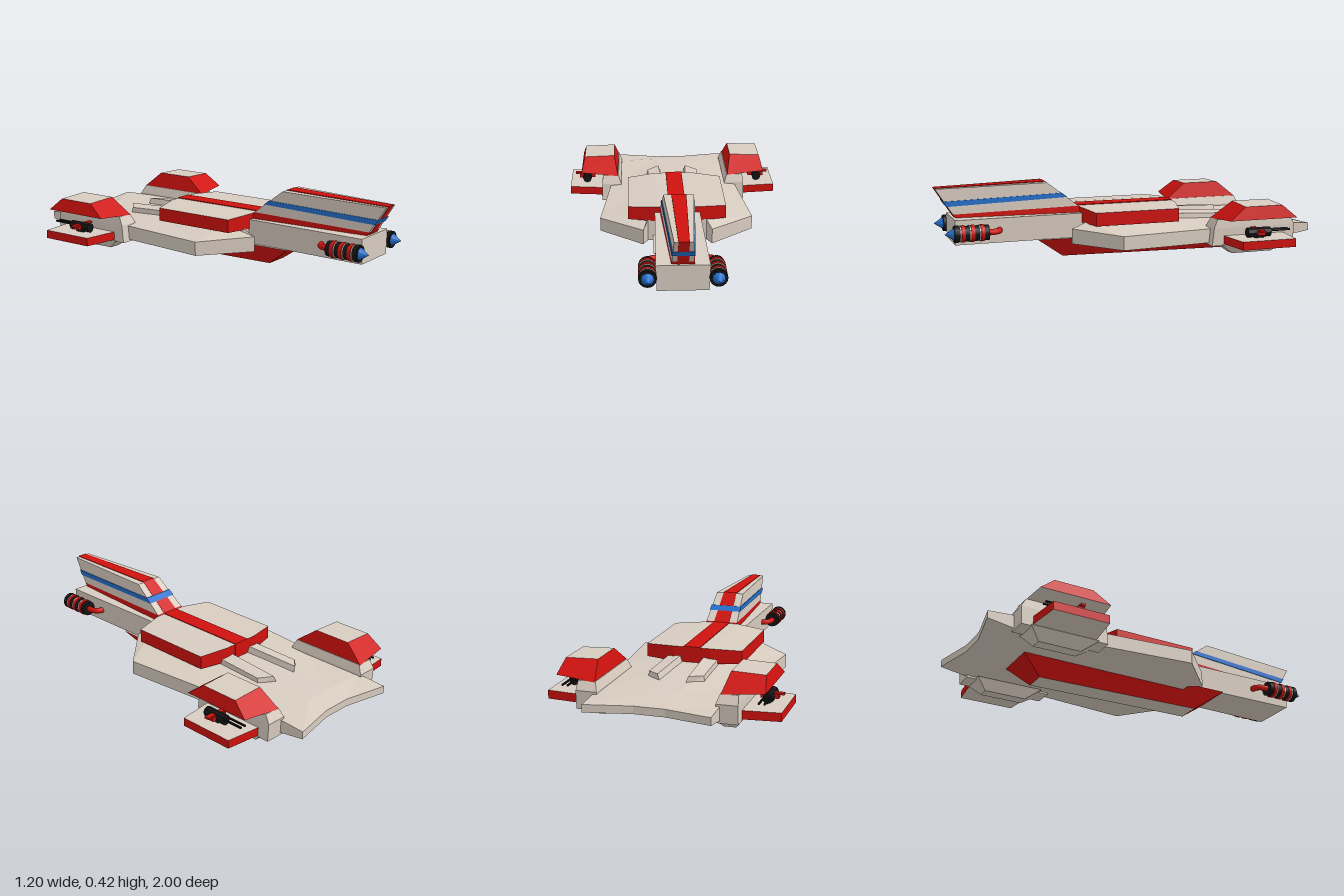
import * as THREE from 'three';

const BEIGE = 0xd8ccc0, RED = 0xd0120e, BLUE = 0x2470cc, BLACK = 0x141414;
const mats = {};
const mat = (color, flat = true) =>
  (mats[color + '' + flat] ??= new THREE.MeshStandardMaterial({ color, flatShading: flat }));

function add(parent, name, geo, color, flat = true) {
  const mesh = new THREE.Mesh(geo, mat(color, flat));
  mesh.name = name;
  parent.add(mesh);
  return mesh;
}

// Faceted surface from quads
function quadGeometry(quads) {
  const pos = [];
  for (const [a, b, c, d] of quads) pos.push(...a, ...b, ...c, ...a, ...c, ...d);
  const geo = new THREE.BufferGeometry();
  geo.setAttribute('position', new THREE.Float32BufferAttribute(pos, 3));
  geo.computeVertexNormals();
  return geo;
}

// Solid through rings (counter-clockwise seen from the last ring), with own colours for walls and ends
function loft(parent, name, rings, wallColor, capColor = wallColor, side = 1) {
  if (side < 0) rings = rings.map(r => r.map(([x, y, z]) => [-x, y, z]).reverse());
  const walls = [], caps = [], n = rings[0].length, last = rings[rings.length - 1], first = rings[0];
  for (let k = 0; k + 1 < rings.length; k++)
    for (let i = 0; i < n; i++) {
      const j = (i + 1) % n;
      walls.push([rings[k][i], rings[k][j], rings[k + 1][j], rings[k + 1][i]]);
    }
  for (let i = 0; i < n / 2 - 1; i++) {
    caps.push([last[i], last[i + 1], last[n - 2 - i], last[n - 1 - i]]);
    caps.push([first[n - 1 - i], first[n - 2 - i], first[i + 1], first[i]]);
  }
  const g = new THREE.Group();
  g.name = name;
  add(g, name + 'Sides', quadGeometry(walls), wallColor);
  add(g, name + 'Ends', quadGeometry(caps), capColor);
  parent.add(g);
}

// Level rectangle ring: x0..x1, z0 (back)..z1 (front)
const rect = (y, x0, x1, z0, z1) => [[x0, y, z1], [x1, y, z1], [x1, y, z0], [x0, y, z0]];

// Cylinder or cone lying along z
const rod = (r0, r1, length, sides = 20) => new THREE.CylinderGeometry(r1, r0, length, sides).rotateX(Math.PI / 2);

function addHull(g) {
  // edge z, middle z, half width, middle half width, top middle, top edge, bottom edge, bottom middle
  const rings = [
    [-1, -0.95, 0.32, 0.08, 0.16, 0.16, 0.12, 0.12],
    [-0.84, -0.84, 0.32, 0.08, 0.18, 0.17, 0.095, 0.09],
    [-0.4, -0.4, 0.36, 0.1, 0.195, 0.17, 0.095, 0.09],
    [0.1, 0.1, 0.41, 0.14, 0.205, 0.168, 0.095, 0.09],
    [0.31, 0.23, 0.18, 0.155, 0.205, 0.18, 0.1, 0.09],
  ].map(([ze, zm, w, m, tm, te, be, bm]) => [
    [-w, be, ze], [-m, bm, zm], [m, bm, zm], [w, be, ze],
    [w, te, ze], [m, tm, zm], [-m, tm, zm], [-w, te, ze],
  ]);
  loft(g, 'hull', rings, BEIGE);

  // Keel with red flanks and a plain underside
  loft(g, 'keel', [
    [[-0.065, 0.015, 0.33], [0.065, 0.015, 0.33], [0.06, 0, -0.6], [-0.06, 0, -0.6]],
    [[-0.13, 0.122, 0.48], [0.13, 0.122, 0.48], [0.13, 0.11, -0.74], [-0.13, 0.11, -0.74]],
  ], RED, BEIGE);

  // Neck
  const neck = (z, w) => [[-w + 0.005, 0.12, z], [w - 0.005, 0.12, z], [w, 0.25, z], [-w, 0.25, z]];
  loft(g, 'neck', [neck(0, 0.115), neck(0.915, 0.13)], BEIGE);

  // Raised deck with red rim
  const deck = (edge, mid) => [
    [-0.26, edge, 0.2], [-0.1, mid, 0.24], [0.1, mid, 0.24], [0.26, edge, 0.2],
    [0.26, edge, -0.26], [0.1, mid, -0.3], [-0.1, mid, -0.3], [-0.26, edge, -0.26],
  ];
  loft(g, 'deck', [deck(0.2, 0.2), deck(0.27, 0.28)], RED, BEIGE);
  loft(g, 'deckStripe', [rect(0.2, -0.045, 0.045, -0.303, 0.25), rect(0.284, -0.045, 0.045, -0.303, 0.25)], RED);
}

// Raked nose tower built of coloured layers
function addTower(g) {
  const ring = (yf, yb, o = 0, wf = 0.055 - 0.06 * (yf - 0.25), wb = 0.09 - 0.09 * (yb - 0.28)) => {
    const zf = 0.9 + 0.1 * (yf - 0.25) / 0.155 + o, zb = 0.24 + 0.18 * (yb - 0.28) / 0.14 - o;
    wf += o; wb += o;
    return [[-wf, yf, zf], [wf, yf, zf], [wb, yb, zb], [-wb, yb, zb]];
  };
  const tower = new THREE.Group();
  tower.name = 'noseTower';
  g.add(tower);
  loft(tower, 'towerBase', [ring(0.245, 0.24), ring(0.268, 0.285)], RED);
  loft(tower, 'towerLower', [ring(0.268, 0.285), ring(0.31, 0.335)], BEIGE);
  loft(tower, 'blueBand', [ring(0.31, 0.335, 0.004), ring(0.337, 0.358, 0.004)], BLUE);
  loft(tower, 'towerUpper', [ring(0.337, 0.358), ring(0.403, 0.415)], BEIGE);
  loft(tower, 'towerStripe', [ring(0.25, 0.275, 0.002, 0.026, 0.043), ring(0.406, 0.419, 0.002, 0.024, 0.036)], RED);
}

// Nose cannon with rings, pointed tip and feed pipe
function addCannon(g, s) {
  const c = new THREE.Group();
  c.name = s > 0 ? 'leftCannon' : 'rightCannon';
  c.position.set(s * 0.168, 0.187, 0);
  g.add(c);
  add(c, 'cannonBarrel', rod(0.04, 0.04, 0.18), BLACK, false).position.z = 0.84;
  for (const z of [0.785, 0.835, 0.885]) {
    add(c, 'cannonRing', rod(0.044, 0.044, 0.018), RED, false).position.z = z;
    add(c, 'cannonTrim', rod(0.043, 0.043, 0.005), BEIGE, false).position.z = z + 0.014;
  }
  add(c, 'cannonMuzzle', rod(0.044, 0.044, 0.02), BLACK, false).position.z = 0.918;
  add(c, 'cannonTip', rod(0.033, 0, 0.05, 12), BLUE).position.z = 0.952;
  const path = new THREE.CatmullRomCurve3([[0, 0.76], [-0.002, 0.72], [-0.018, 0.693], [-0.06, 0.68]]
    .map(([x, z]) => new THREE.Vector3(s * x, 0, z)));
  add(c, 'feedPipe', new THREE.TubeGeometry(path, 14, 0.016, 10), RED, false);
}

function addSide(g, s) {
  const side = new THREE.Group();
  side.name = s > 0 ? 'leftPod' : 'rightPod';
  g.add(side);

  // Pod pylon and tapered foot
  loft(side, 'pylon', [
    rect(0.085, 0.3, 0.41, -0.86, -0.39), rect(0.18, 0.3, 0.41, -0.865, -0.4), rect(0.225, 0.315, 0.405, -0.84, -0.42),
  ], BEIGE, BEIGE, s);
  loft(side, 'pylonFoot', [rect(0.032, 0.305, 0.37, -0.75, -0.52), rect(0.09, 0.27, 0.415, -0.81, -0.44)], BEIGE, BEIGE, s);

  // Angular red pod with plain roof
  loft(side, 'pod', [
    [[0.318, 0.222, -0.415], [0.53, 0.236, -0.44], [0.53, 0.236, -0.82], [0.318, 0.222, -0.845]],
    [[0.34, 0.31, -0.53], [0.512, 0.304, -0.53], [0.512, 0.304, -0.74], [0.34, 0.31, -0.74]],
  ], RED, BEIGE, s);

  // Winglet
  const winglet = y => [[0.4, y, -0.455], [0.598, y, -0.48], [0.598, y, -0.78], [0.4, y, -0.8]];
  loft(side, 'winglet', [winglet(0.094), winglet(0.138)], RED, BEIGE, s);

  // Turret on the winglet, twin barrels facing aft
  const t = new THREE.Group();
  t.name = 'turret';
  t.position.set(s * 0.502, 0.166, -0.61);
  side.add(t);
  add(t, 'turretBody', rod(0.026, 0.026, 0.13, 8), BLACK);
  add(t, 'turretAxle', new THREE.BoxGeometry(0.09, 0.022, 0.04), RED);
  add(t, 'turretBrace', new THREE.BoxGeometry(0.14, 0.01, 0.025), RED).position.y = 0.012;
  add(t, 'turretBase', new THREE.BoxGeometry(0.03, 0.03, 0.05), BLACK).position.y = -0.02;
  for (const x of [-0.014, 0.014])
    add(t, 'turretBarrel', rod(0.006, 0.006, 0.12, 8), BLACK).position.set(x, 0.008, -0.115);

  // Low vane behind the deck
  loft(side, 'rearVane', [
    [[0.045, 0.17, -0.27], [0.14, 0.17, -0.27], [0.15, 0.17, -0.555], [0.064, 0.17, -0.615]],
    [[0.062, 0.232, -0.27], [0.135, 0.222, -0.27], [0.145, 0.212, -0.55], [0.08, 0.218, -0.605]],
  ], BEIGE, BEIGE, s);
}

export function createModel() {
  const g = new THREE.Group();
  g.name = 'spacecraft';
  addHull(g);
  addTower(g);
  for (const s of [1, -1]) {
    addCannon(g, s);
    addSide(g, s);
  }
  return g;
}
